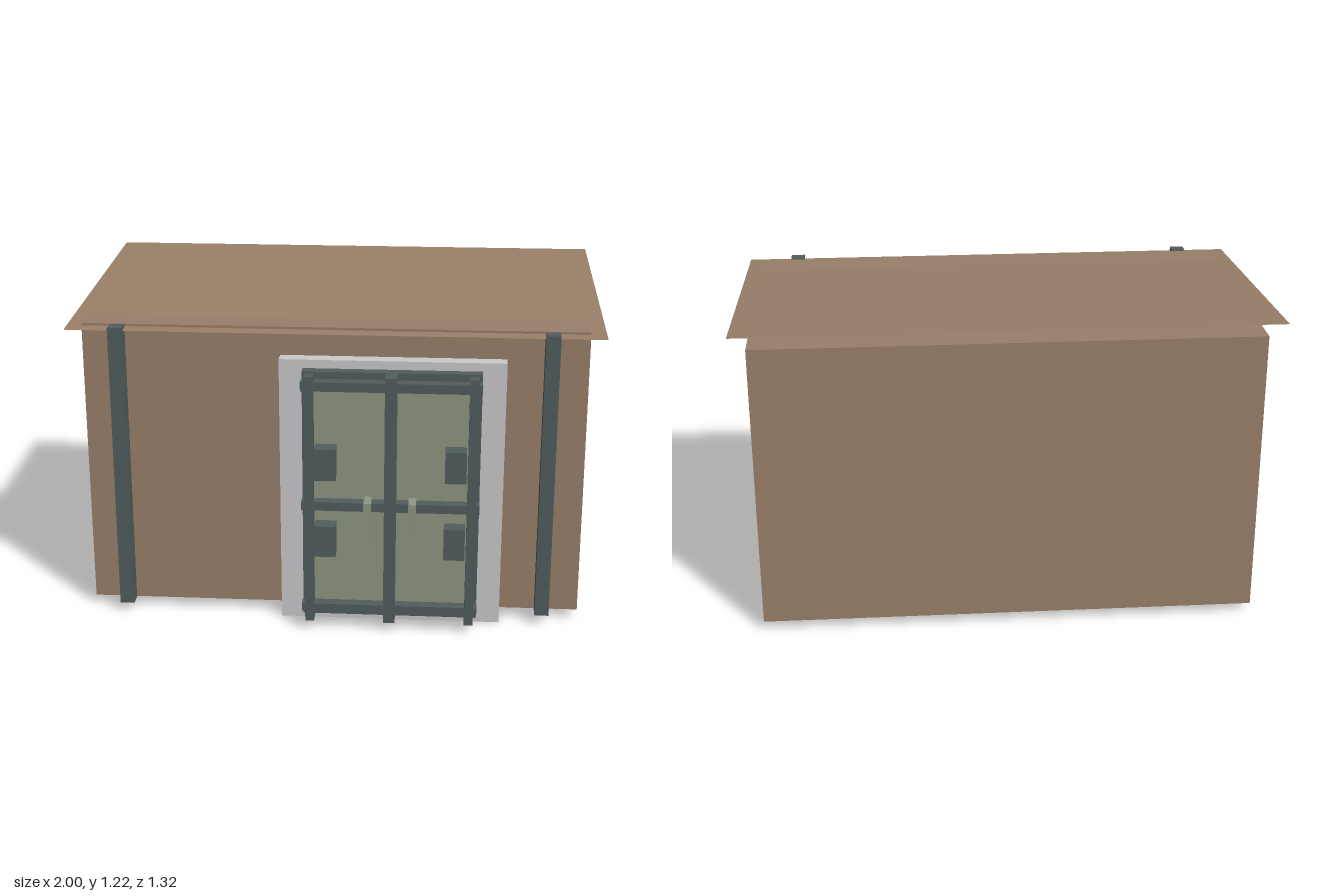
import * as THREE from 'three';

const mat = (name, color) => {
  const m = new THREE.MeshStandardMaterial({ color });
  m.name = name;
  return m;
};

export function createModel() {
  const brown = mat('brown wall', 0x987f68);
  const roofBrown = mat('brown roof', 0x987f68);
  roofBrown.side = THREE.DoubleSide;
  const steel = mat('dark steel', 0x515d5d);
  const green = mat('grey green', 0x8f9682);
  const grey = mat('light grey', 0xc9c9cb);

  const model = new THREE.Group();
  model.name = 'shed';

  // Box given by its two opposite extents on each axis
  const box = (parent, name, material, [x0, x1], [y0, y1], [z0, z1]) => {
    const mesh = new THREE.Mesh(new THREE.BoxGeometry(x1 - x0, y1 - y0, z1 - z0), material);
    mesh.position.set((x0 + x1) / 2, (y0 + y1) / 2, (z0 + z1) / 2);
    mesh.name = name;
    parent.add(mesh);
  };

  // Main body and corner posts
  box(model, 'body', brown, [-0.944, 0.942], [0.037, 1.148], [-0.6, 0.457]);
  for (const x of [-0.807, 0.803]) {
    box(model, 'post', steel, [x - 0.027, x + 0.027], [0.037, 1.148], [0.465, 0.521]);
  }

  // Thin sheet roof, lower at the front
  const depth = 1.17, rise = 0.08;
  const roof = new THREE.Mesh(new THREE.PlaneGeometry(2, Math.hypot(depth, rise)), roofBrown);
  roof.name = 'roof';
  roof.rotation.x = -Math.PI / 2 + Math.atan2(rise, depth);
  roof.position.set(0, 1.175, -0.075);
  model.add(roof);

  // Door surround
  box(model, 'doorSurround', grey, [-0.2, 0.64], [0, 1.04], [0.44, 0.515]);

  // Double door
  const door = new THREE.Group();
  door.name = 'doubleDoor';
  model.add(door);
  const mid = 0.22;
  box(door, 'doorBacking', steel, [mid - 0.331, mid + 0.331], [0.037, 1.008], [0.5, 0.559]);
  box(door, 'centreStile', steel, [mid - 0.022, mid + 0.022], [0.037, 1.008], [0.559, 0.628]);
  for (const [y0, y1] of [[0.077, 0.108], [0.489, 0.522], [0.953, 0.988]]) {
    box(door, 'crossRail', steel, [mid - 0.331, mid + 0.331], [y0, y1], [0.581, 0.626]);
  }

  // Mirrored leaves: panel, outer stile, hinge blocks and handle
  for (const s of [-1, 1]) {
    const span = (a, b) => [mid + s * a, mid + s * b].sort((p, q) => p - q);
    box(door, 'doorPanel', green, span(0.02, 0.308), [0.07, 0.975], [0.55, 0.581]);
    box(door, 'outerStile', steel, span(0.285, 0.318), [0.037, 1.008], [0.581, 0.628]);
    for (const y of [0.372, 0.676]) {
      box(door, 'hingeBlock', steel, span(0.201, 0.28), [y - 0.061, y + 0.061], [0.575, 0.646]);
    }
    box(door, 'handle', green, span(0.069, 0.097), [0.378, 0.532], [0.575, 0.656]);
  }

  return model;
}
